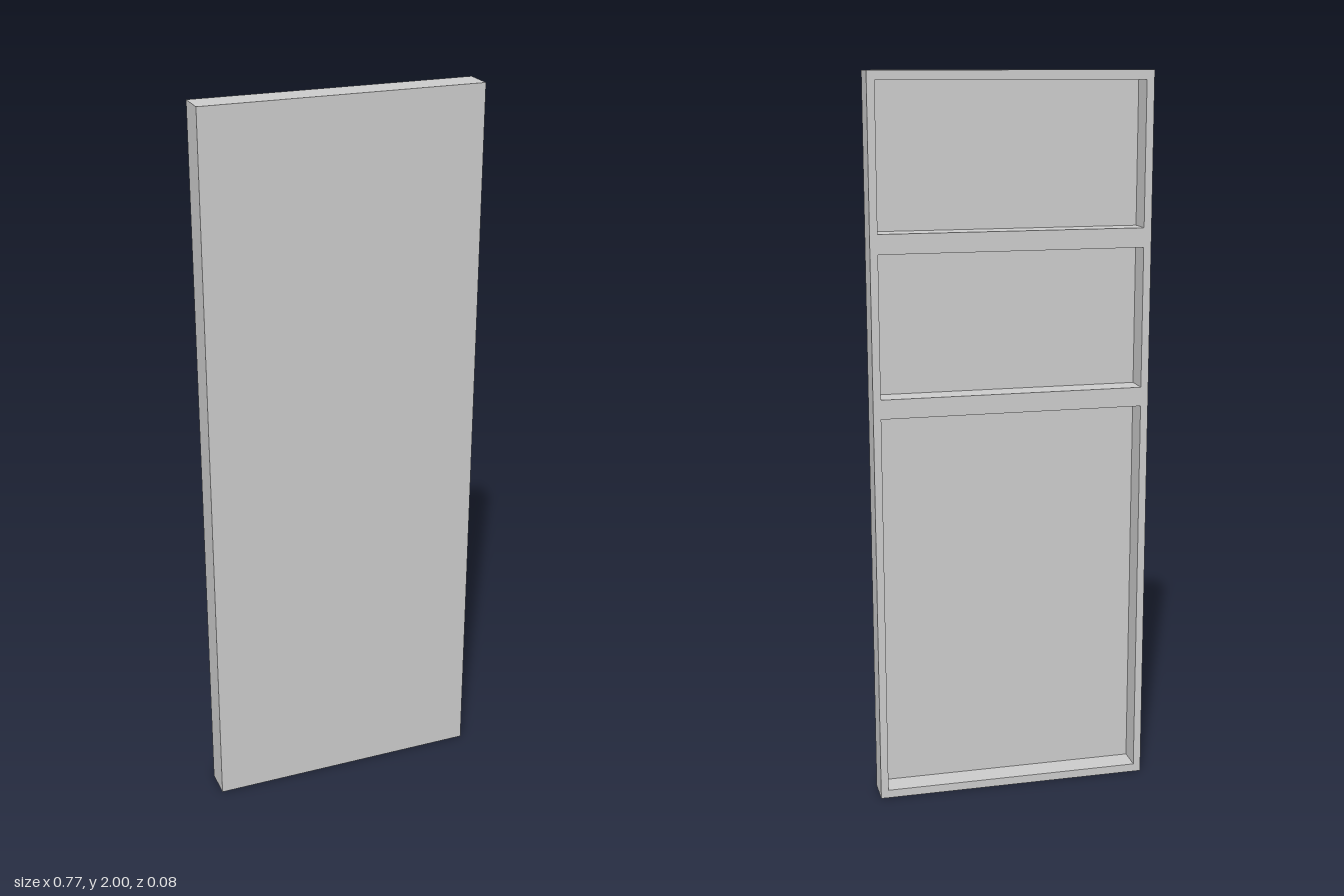
import * as THREE from 'three';

const W = 0.766, H = 2, D = 0.084;   // overall size
const SKIN = 0.014;                  // front panel thickness
const STILE = 0.021;                 // frame edge width

export function createModel() {
  const group = new THREE.Group();
  group.name = 'panelDoor';
  const material = new THREE.MeshStandardMaterial({ color: 0xcccccc, flatShading: true });

  const rect = (Type, x0, y0, x1, y1) => {
    const p = new Type();
    p.moveTo(x0, y0).lineTo(x1, y0).lineTo(x1, y1).lineTo(x0, y1).closePath();
    return p;
  };

  // Flat front panel
  const panel = new THREE.Mesh(new THREE.BoxGeometry(W, H, SKIN), material);
  panel.name = 'frontPanel';
  panel.position.set(0, H / 2, D / 2 - SKIN / 2);
  group.add(panel);

  // Back frame with two cross rails, leaving three open recesses
  const outline = rect(THREE.Shape, -W / 2, 0, W / 2, H);
  for (const [bottom, top] of [[0.023, 1.095], [1.148, 1.533], [1.586, 1.975]]) {
    outline.holes.push(rect(THREE.Path, -W / 2 + STILE, bottom, W / 2 - STILE, top));
  }
  const frame = new THREE.Mesh(
    new THREE.ExtrudeGeometry(outline, { depth: D - SKIN, bevelEnabled: false }), material);
  frame.name = 'backFrame';
  frame.position.z = -D / 2;
  group.add(frame);

  return group;
}
